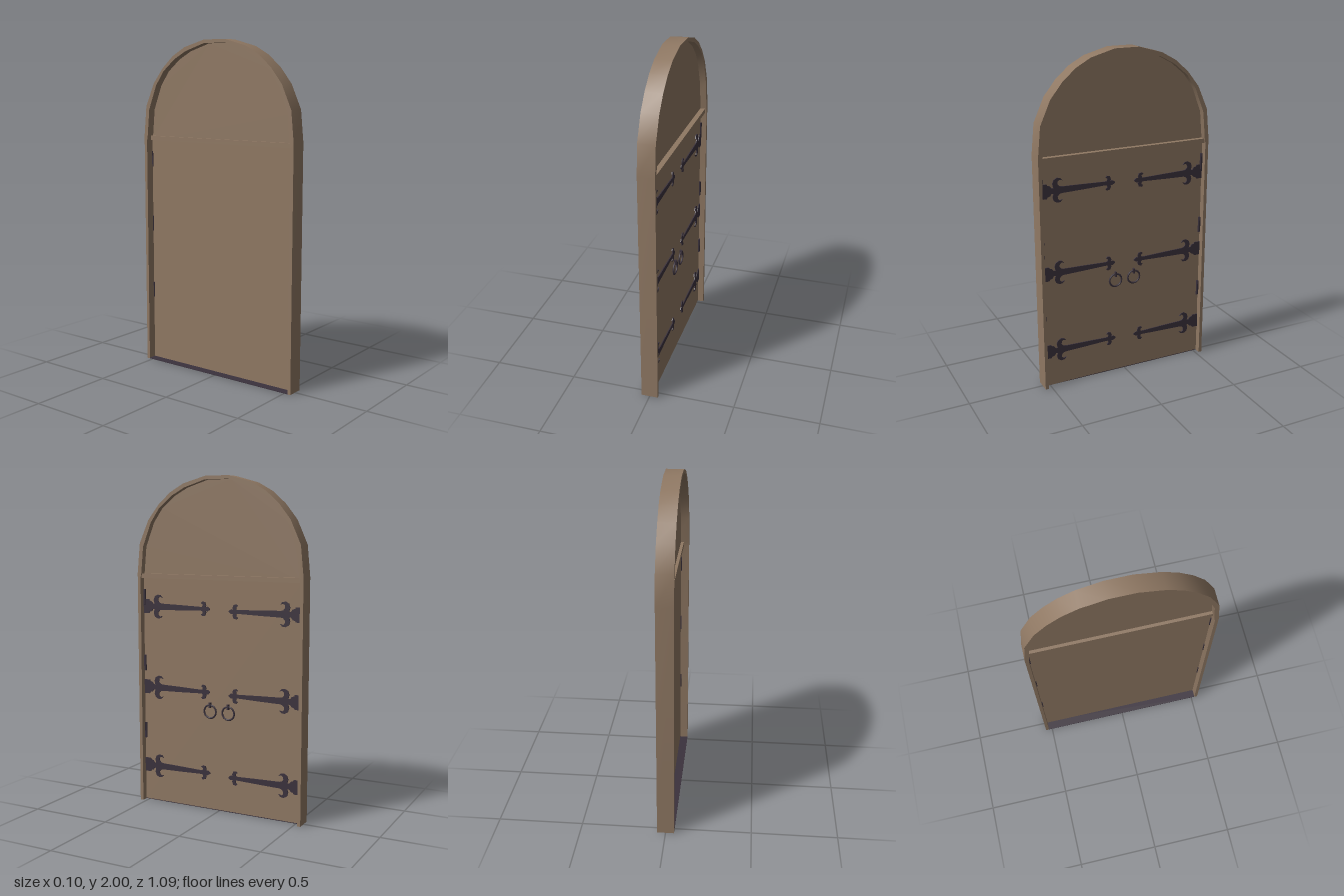
import * as THREE from 'three';
import { toCreasedNormals } from 'three/addons/utils/BufferGeometryUtils.js';

const wood = new THREE.MeshStandardMaterial({ color: 0x8f7863 });
wood.name = 'brown wood';
const iron = new THREE.MeshStandardMaterial({ color: 0x3b323d });
iron.name = 'dark iron';

// Half outlines as [z, y]; mirrored to make the full arch
const outerHalf = [[0.543, 0], [0.543, 1.43], [0.525, 1.61], [0.462, 1.75], [0.39, 1.84], [0.31, 1.91], [0.22, 1.96], [0.075, 2]];
const innerHalf = [[0.523, 0], [0.523, 1.4], [0.517, 1.43], [0.502, 1.59], [0.445, 1.735], [0.385, 1.82], [0.3, 1.89], [0.212, 1.937], [0.075, 1.98]];

// Half outline of a strap hinge as [distance from jamb, height]
const strapHalf = [
  [0, 0.043], [0.037, 0.043], [0.041, 0.034], [0.056, 0.03], [0.066, 0.016], [0.078, 0.016],
  [0.072, 0.04], [0.08, 0.062], [0.1, 0.073], [0.12, 0.07], [0.133, 0.055], [0.115, 0.061],
  [0.104, 0.052], [0.102, 0.036], [0.115, 0.022], [0.13, 0.019], [0.25, 0.016], [0.395, 0.011],
  [0.41, 0.012], [0.412, 0.028], [0.4, 0.034], [0.41, 0.044], [0.428, 0.04], [0.435, 0.022],
  [0.432, 0.012], [0.445, 0.014], [0.46, 0.003],
];

const toPoints = (list) => list.map(([a, b]) => new THREE.Vector2(a, b));
const archPoints = (half) => toPoints([...half, ...half.map(([z, y]) => [-z, y]).reverse()]);

// Extrude a side-on outline from x0 to x1
function slab(shape, x0, x1) {
  const geo = new THREE.ExtrudeGeometry(shape, { depth: x1 - x0, bevelEnabled: false, curveSegments: 8 });
  geo.rotateY(Math.PI / 2);
  geo.translate(x0, 0, 0);
  return toCreasedNormals(geo, 0.7);
}

function strapShape(side) {
  const full = [...strapHalf, ...strapHalf.map(([s, h]) => [s, -h]).reverse()];
  return new THREE.Shape(toPoints(full.map(([s, h]) => [-side * (0.523 - s), h])));
}

export function createModel() {
  const group = new THREE.Group();
  const add = (name, geo, mat, x = 0, y = 0, z = 0) => {
    const mesh = new THREE.Mesh(geo, mat);
    mesh.name = name;
    mesh.position.set(x, y, z);
    group.add(mesh);
    return mesh;
  };

  // Arched frame, open at the bottom
  const inner = archPoints(innerHalf);
  const frame = new THREE.Shape([...archPoints(outerHalf), ...inner.slice().reverse()]);
  add('archedFrame', slab(frame, -0.05, 0.05), wood);

  // Recessed door and arch panel, separated by a crossbar
  add('doorPanel', new THREE.BoxGeometry(0.012, 1.402, 1.046), wood, 0.006, 0.701, 0);
  add('archPanel', slab(new THREE.Shape(archPoints(innerHalf.slice(1))), 0, 0.012), wood);
  add('crossbar', new THREE.BoxGeometry(0.06, 0.027, 1.04), wood, 0.012, 1.414, 0);

  // Threshold behind the door
  add('threshold', new THREE.BoxGeometry(0.062, 0.004, 1.046), iron, -0.019, 0.002, 0);

  for (const side of [1, -1]) {
    const label = side > 0 ? 'front' : 'rear';

    // Ornamental straps
    const strap = slab(strapShape(side), 0.01, 0.018);
    for (const y of [0.222, 0.722, 1.223]) add(label + 'Strap', strap, iron, 0, y + side * 0.004, 0);

    // Hinge barrels with leaves on the jamb
    for (const y of [0.448, 0.875, 1.283]) {
      add(label + 'HingeBarrel', new THREE.CylinderGeometry(0.006, 0.006, 0.097, 8), iron, 0.015, y, side * 0.515);
      add(label + 'HingeLeaf', new THREE.BoxGeometry(0.026, 0.095, 0.005), iron, 0.008, y, side * 0.5205);
    }

    // Ring pull hanging from a small staple
    const z = side * 0.061;
    const ring = add(label + 'RingPull', new THREE.TorusGeometry(0.04, 0.0055, 8, 16), iron, 0.018, 0.61, z);
    ring.rotation.y = Math.PI / 2;
    add(label + 'RingStaple', new THREE.BoxGeometry(0.018, 0.032, 0.01), iron, 0.019, 0.649, z);
  }
  return group;
}
